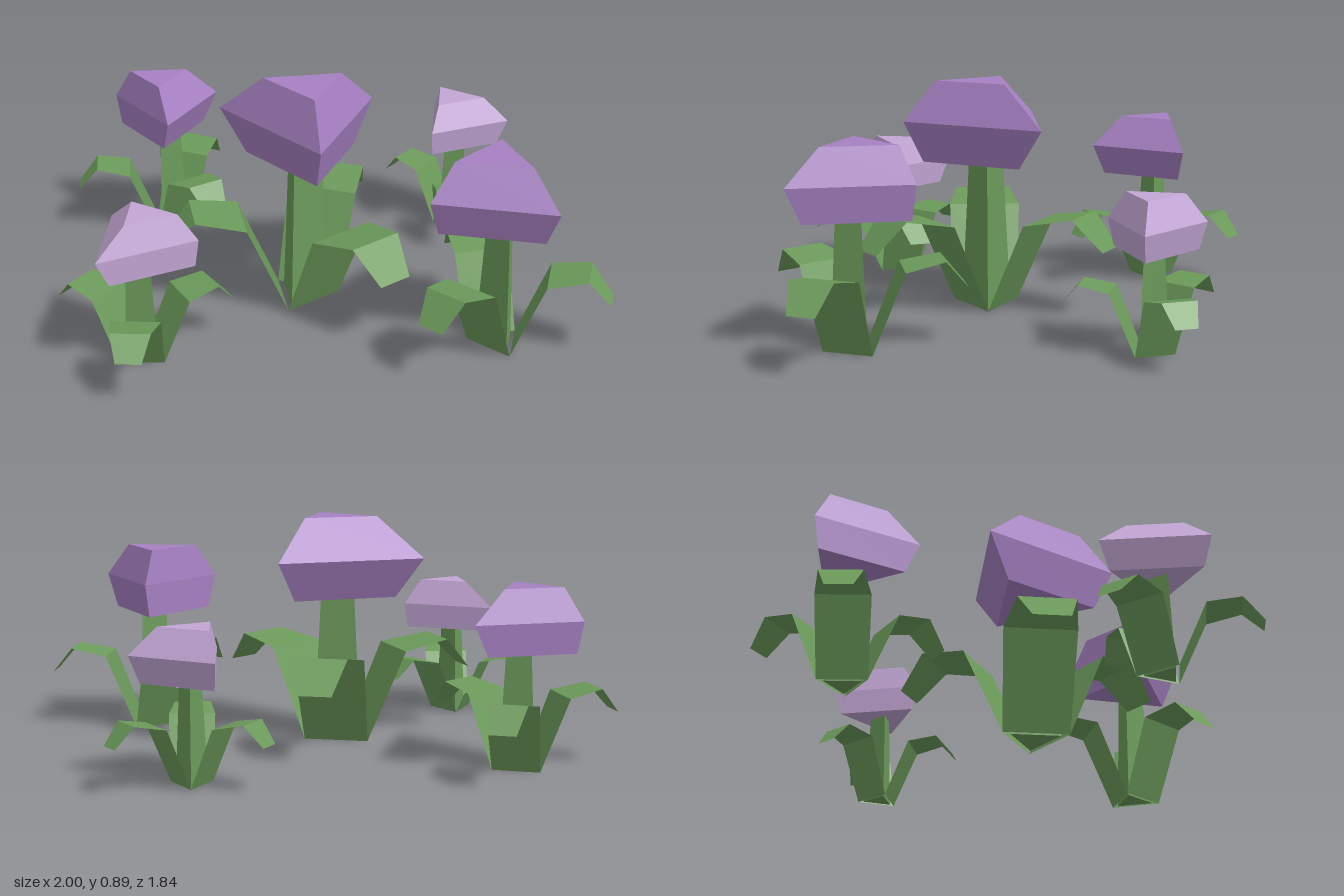
import * as THREE from 'three';

const material = (name, color) => {
  const m = new THREE.MeshStandardMaterial({ color, flatShading: true });
  m.name = name;
  return m;
};

// Non-indexed geometry from quads and triangles given as lists of points
function facesToGeometry(faces) {
  const pos = [];
  for (const f of faces) {
    for (let i = 1; i < f.length - 1; i++) pos.push(...f[0], ...f[i], ...f[i + 1]);
  }
  const g = new THREE.BufferGeometry();
  g.setAttribute('position', new THREE.Float32BufferAttribute(pos, 3));
  g.computeVertexNormals();
  return g;
}

// Folded leaf strip: rows of [distance from stem, height, width]
const LEAF_ROWS = [[0.073, 0, 0.254], [0.23, 0.353, 0.28], [0.42, 0.388, 0.22], [0.53, 0.265, 0.14]];
function leafGeometry() {
  const faces = [];
  for (let i = 0; i < LEAF_ROWS.length - 1; i++) {
    const [r, y, w] = LEAF_ROWS[i], [r2, y2, w2] = LEAF_ROWS[i + 1];
    faces.push([[r, y, w / 2], [r2, y2, w2 / 2], [r2, y2, -w2 / 2], [r, y, -w / 2]]);
  }
  return facesToGeometry(faces);
}

// Three-sided cap: narrow bottom ring, wide middle ring, small top ring
function capGeometry({ s, h, turn, cap, shift, top, bottom }) {
  const ring = (y, scale, k) => [90, 210, 330].map((deg) => {
    const a = THREE.MathUtils.degToRad(deg + turn), r = 0.343 * s * scale;
    return [cap[0] + shift[0] * k + r * Math.cos(a), y * h, cap[1] + shift[1] * k + r * Math.sin(a)];
  });
  const rings = [ring(0.57, bottom, 0.6), ring(0.727, 1, 0), ring(0.886, top, 1)];
  const faces = [rings[0], [...rings[2]].reverse()];
  for (let n = 0; n < 2; n++) {
    for (let i = 0; i < 3; i++) {
      const j = (i + 1) % 3;
      faces.push([rings[n][i], rings[n + 1][i], rings[n + 1][j], rings[n][j]]);
    }
  }
  return facesToGeometry(faces);
}

export function createModel() {
  const green = material('leaf green', 0x6b9a5a);
  green.side = THREE.DoubleSide;
  const purple = material('purple', 0xa680c2);
  const lilac = material('pale lilac', 0xc3a6d5);

  // base: stem position, cap: cap centre, shift: sideways offset of the cap top (all x, z)
  const flowers = [
    { name: 'centreFlower', mat: purple, base: [-0.06, 0.13], cap: [-0.045, 0.108], shift: [0, 0.045], s: 1, h: 1, turn: 0, top: 0.5, bottom: 0.7 },
    { name: 'frontLeftFlower', mat: purple, base: [0.587, 0.625], cap: [0.563, 0.638], shift: [-0.004, -0.036], s: 0.765, h: 0.835, turn: -37.5, top: 0.61, bottom: 0.84 },
    { name: 'backRightFlower', mat: purple, base: [-0.505, -0.59], cap: [-0.502, -0.576], shift: [-0.03, -0.013], s: 0.702, h: 0.762, turn: 4.5, top: 0.55, bottom: 0.82 },
    { name: 'frontRightFlower', mat: lilac, base: [-0.708, 0.496], cap: [-0.716, 0.481], shift: [0.035, 0.01], s: 0.655, h: 0.64, turn: 42, top: 0.52, bottom: 0.84 },
    { name: 'backLeftFlower', mat: lilac, base: [0.688, -0.42], cap: [0.7, -0.422], shift: [-0.02, 0], s: 0.597, h: 0.637, turn: 46, top: 0.6, bottom: 0.86 },
  ];

  const leafGeo = leafGeometry();
  const stemGeo = new THREE.CylinderGeometry(0.077, 0.11, 0.57, 3).rotateY(Math.PI / 2).translate(0, 0.285, 0);

  const model = new THREE.Group();
  model.name = 'flowerPatch';
  for (const f of flowers) {
    const flower = new THREE.Group();
    flower.name = f.name;

    // Stem with three leaves, one along each side
    const plant = new THREE.Group();
    plant.name = 'stemAndLeaves';
    plant.position.set(f.base[0], 0, f.base[1]);
    plant.scale.set(f.s, f.h, f.s);
    plant.rotation.y = -THREE.MathUtils.degToRad(f.turn);
    const stem = new THREE.Mesh(stemGeo, green);
    stem.name = 'stem';
    plant.add(stem);
    for (let i = 0; i < 3; i++) {
      const leaf = new THREE.Mesh(leafGeo, green);
      leaf.name = 'leaf';
      leaf.rotation.y = Math.PI / 3 + (i * Math.PI * 2) / 3;
      plant.add(leaf);
    }

    // Blossom
    const blossom = new THREE.Mesh(capGeometry(f), f.mat);
    blossom.name = 'blossom';
    flower.add(plant, blossom);
    model.add(flower);
  }
  return model;
}
